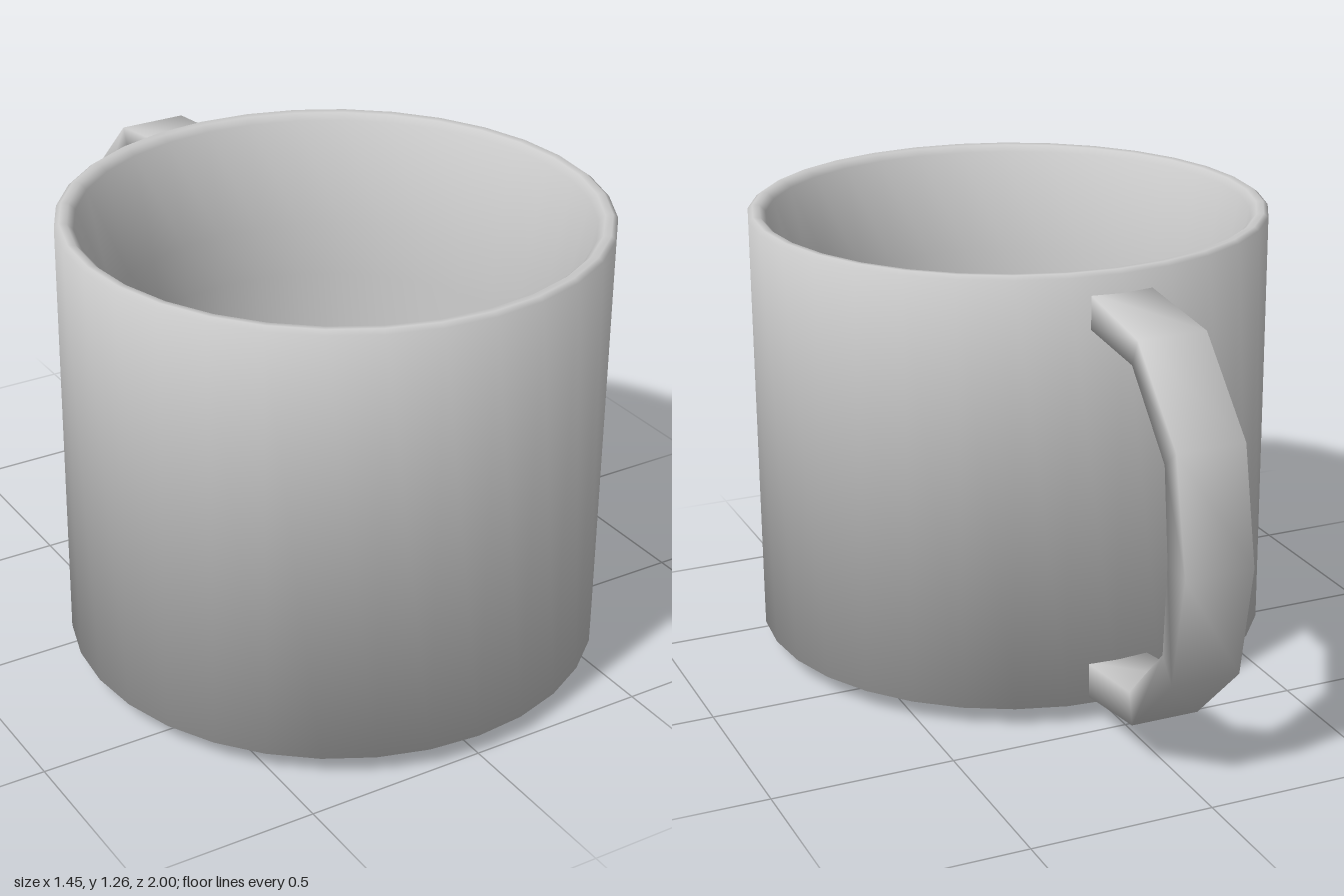
import * as THREE from 'three';

const material = new THREE.MeshStandardMaterial({ color: 0xcccccc, side: THREE.DoubleSide });
const CUP_Z = 0.275;

// Soft lathe normals: each ring averages its neighbouring bands equally, the end rings keep their own
function softenLathe(geometry, profile) {
  const bands = profile.slice(1).map((p, i) => {
    const d = p.clone().sub(profile[i]).normalize();
    return new THREE.Vector2(d.y, -d.x);
  });
  const rings = profile.map((_, i) => {
    const before = bands[Math.max(i - 1, 0)];
    const after = bands[Math.min(i, bands.length - 1)];
    return before.clone().add(after).normalize();
  });
  const { position, normal } = geometry.attributes;
  for (let i = 0; i < position.count; i++) {
    const n = rings[i % rings.length];
    const angle = Math.atan2(position.getX(i), position.getZ(i));
    normal.setXYZ(i, n.x * Math.sin(angle), n.y, n.x * Math.cos(angle));
  }
}

// Bottomless cup: tapered foot, straight outside, rounded rim, inside sloping to a narrower bore
function createCup() {
  const profile = [
    [0.6, 0], [0.615, 0.005], [0.725, 0.055], [0.725, 1.252], [0.712, 1.262],
    [0.692, 1.26], [0.675, 1.243], [0.615, 0.95], [0.6, 0.8], [0.6, 0],
  ].map(([r, y]) => new THREE.Vector2(r, y));
  const geometry = new THREE.LatheGeometry(profile, 32);
  softenLathe(geometry, profile);
  const cup = new THREE.Mesh(geometry, material);
  cup.name = 'cup';
  cup.position.z = CUP_Z;
  return cup;
}

// Handle: flat strap of rectangular sections between outer and inner points [z, y]
function createHandle() {
  const outer = [[-0.42, 1.204], [-0.725, 1.168], [-0.94, 0.947], [-1, 0.638],
    [-0.94, 0.327], [-0.722, 0.12], [-0.42, 0.07]];
  const inner = [[-0.42, 1.112], [-0.695, 1.095], [-0.88, 0.897], [-0.905, 0.645],
    [-0.887, 0.393], [-0.704, 0.207], [-0.42, 0.168]];
  const positions = [];
  const index = [];

  outer.forEach(([zo, yo], i) => {
    const [zi, yi] = inner[i];
    const last = outer.length - 1;
    const w = i === 0 || i === last ? 0.086 : 0.095;
    const [left, right] = [w - 0.005, -w - 0.005];
    positions.push(left, yo, zo, left, yi, zi, right, yi, zi, right, yo, zo);
    for (let j = 0; j < 4 && i < last; j++) {
      const p = i * 4 + j;
      const q = i * 4 + ((j + 1) % 4);
      index.push(p, q, p + 4, q, q + 4, p + 4);
    }
  });

  const geometry = new THREE.BufferGeometry();
  geometry.setAttribute('position', new THREE.Float32BufferAttribute(positions, 3));
  geometry.setIndex(index);
  geometry.computeVertexNormals();
  const handle = new THREE.Mesh(geometry, material);
  handle.name = 'handle';
  return handle;
}

export function createModel() {
  const mug = new THREE.Group();
  mug.name = 'mug';
  mug.add(createCup(), createHandle());
  return mug;
}
